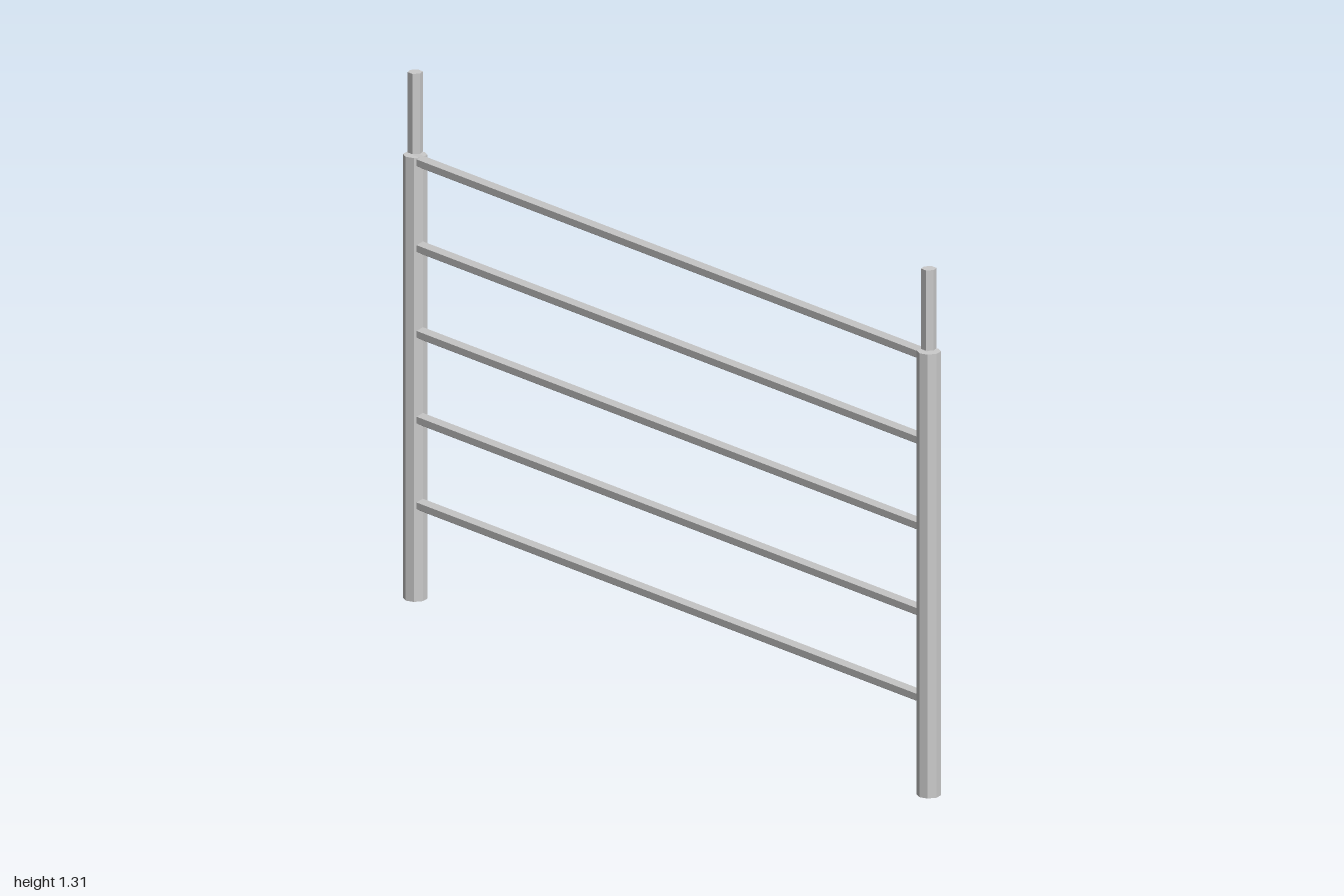
import * as THREE from 'three';

const POST_X = 0.971;

export function createModel() {
  const group = new THREE.Group();
  const material = new THREE.MeshStandardMaterial({ color: 0xcccccc, flatShading: true });

  const add = (name, geometry, x, y) => {
    const mesh = new THREE.Mesh(geometry, material);
    mesh.name = name;
    mesh.position.set(x, y, 0);
    group.add(mesh);
  };

  // Octagonal posts, each with a slim hexagonal pin just above its top
  const post = new THREE.CylinderGeometry(0.029, 0.029, 1.106, 8);
  const pin = new THREE.CylinderGeometry(0.0185, 0.0185, 0.2, 6).rotateY(Math.PI / 2);
  for (const [side, sign] of [['left', 1], ['right', -1]]) {
    add(side + 'Post', post, sign * POST_X, 0.553);
    add(side + 'Pin', pin, sign * POST_X, 1.212);
  }

  // Hexagonal rails, ridge edge upward
  const rail = new THREE.CylinderGeometry(0.0165, 0.0165, 2 * POST_X, 6)
    .rotateY(Math.PI / 2)
    .rotateZ(Math.PI / 2);
  for (let i = 0; i < 5; i++) add('rail' + (i + 1), rail, 0, 0.239 + i * 0.2137);

  return group;
}
